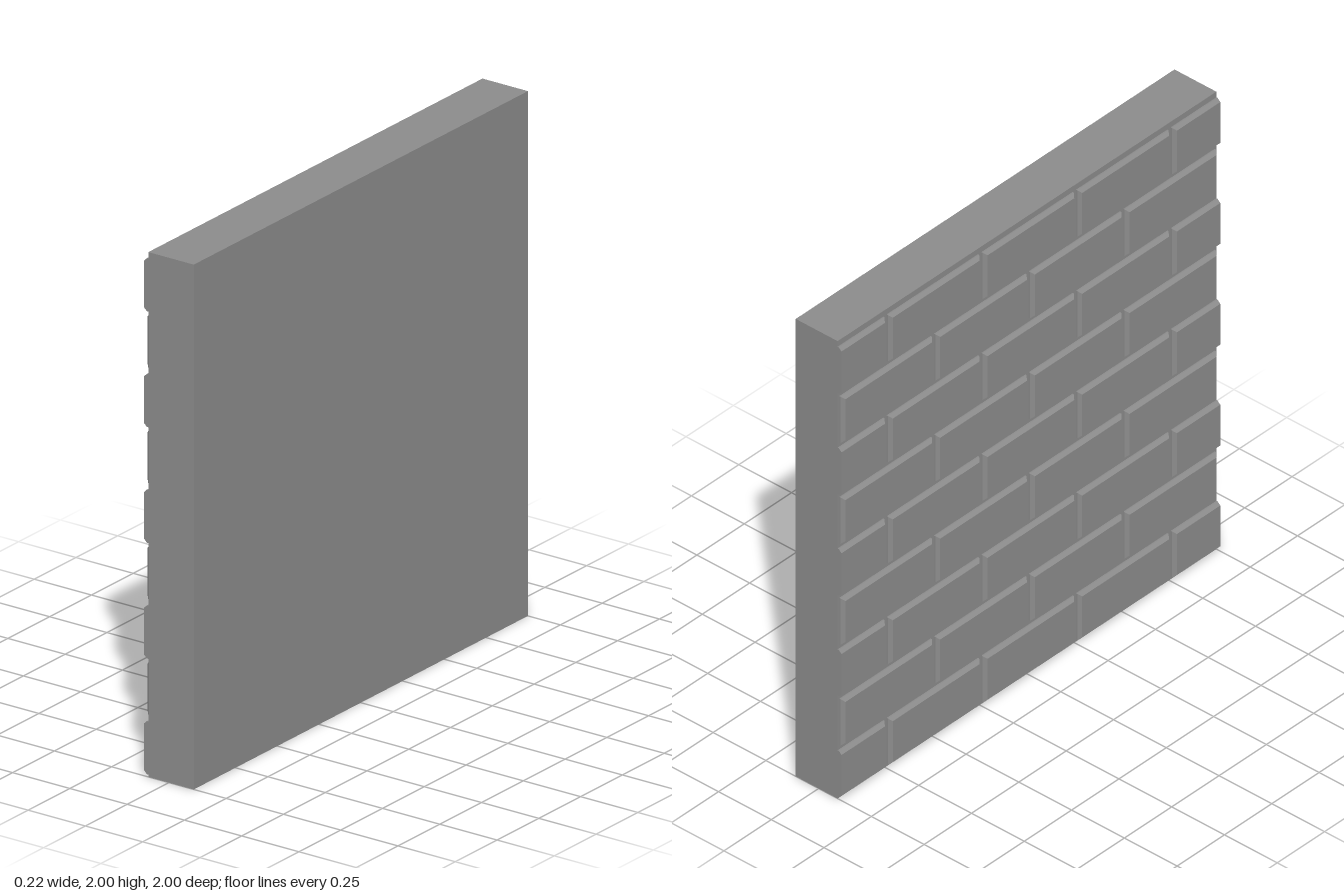
import * as THREE from 'three';

const FACE = -0.09;    // wall face that carries the bricks
const OUT = -0.1085;   // outer brick face
const SHOULDER = -0.096; // where the chamfer starts
const GAP = 0.009;     // half of a mortar joint
const CHAMFER = 0.012;
const PITCH = 0.2205;  // row height
const ROWS = 9;

// Chamfered brick facing -x, built from three rectangular loops; ends at z = +-1 of a cut brick stay square
function brickGeometry(y0, y1, z0, z1, cutStart, cutEnd) {
  const loop = (x, inset) => {
    const a = z0 + (cutStart ? 0 : inset), b = z1 - (cutEnd ? 0 : inset);
    return [[x, y0 + inset, a], [x, y0 + inset, b], [x, y1 - inset, b], [x, y1 - inset, a]];
  };
  const loops = [loop(FACE, 0), loop(SHOULDER, 0), loop(OUT, CHAMFER)];
  const pos = [];
  const quad = (a, b, c, d) => pos.push(...a, ...b, ...c, ...a, ...c, ...d);
  for (let k = 0; k < 2; k++) {
    for (let i = 0; i < 4; i++) {
      const j = (i + 1) % 4;
      quad(loops[k][i], loops[k][j], loops[k + 1][j], loops[k + 1][i]);
    }
  }
  quad(...loops[2]);
  const g = new THREE.BufferGeometry();
  g.setAttribute('position', new THREE.Float32BufferAttribute(pos, 3));
  g.computeVertexNormals();
  return g;
}

export function createModel() {
  const group = new THREE.Group();
  group.name = 'brickWall';
  const stone = new THREE.MeshStandardMaterial({ color: 0x8c8c8c });
  stone.name = 'grey stone';

  // Solid wall slab
  const slab = new THREE.Mesh(new THREE.BoxGeometry(0.1085 - FACE, 2, 2), stone);
  slab.name = 'wallSlab';
  slab.position.set((0.1085 + FACE) / 2, 1, 0);
  group.add(slab);

  // Running bond: even rows start and end with half bricks
  for (let r = 0; r < ROWS; r++) {
    const row = new THREE.Group();
    row.name = 'brickRow' + (r + 1);
    const half = r % 2 === 0;
    const joints = half ? [-1, -0.75, -0.25, 0.25, 0.75, 1] : [-1, -0.5, 0, 0.5, 1];
    for (let i = 0; i < joints.length - 1; i++) {
      const cutStart = half && i === 0;
      const cutEnd = half && i === joints.length - 2;
      const brick = new THREE.Mesh(brickGeometry(
        r * PITCH + GAP, (r + 1) * PITCH - GAP,
        joints[i] + (cutStart ? 0 : GAP), joints[i + 1] - (cutEnd ? 0 : GAP),
        cutStart, cutEnd), stone);
      brick.name = cutStart || cutEnd ? 'halfBrick' : 'brick';
      row.add(brick);
    }
    group.add(row);
  }
  return group;
}
